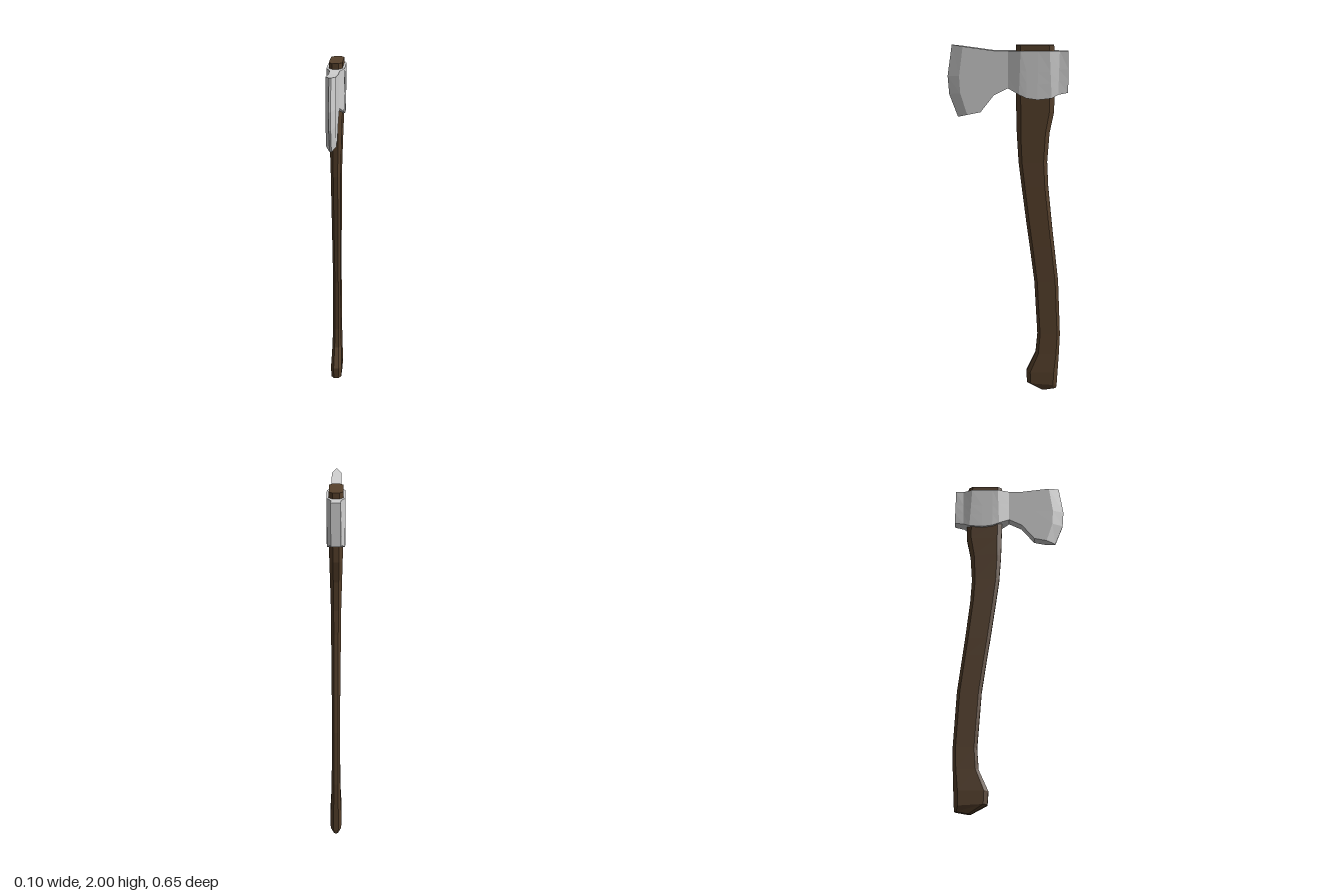
import * as THREE from 'three';

// Skin a list of closed rings, ordered counter-clockwise about the travel direction.
// Each end is capped with a strip between mirrored points.
function loft(rings) {
  const n = rings[0].length;
  const pos = [];
  const quad = (a, b, c, d) => [a, b, c, a, c, d].forEach((p) => pos.push(...p));
  for (let i = 0; i < rings.length - 1; i++) {
    const p = rings[i], q = rings[i + 1];
    for (let j = 0; j < n; j++) {
      const k = (j + 1) % n;
      quad(p[j], p[k], q[k], q[j]);
    }
  }
  const first = rings[0], last = rings[rings.length - 1];
  for (let j = 0; j < n / 2 - 1; j++) {
    quad(last[j], last[j + 1], last[n - 2 - j], last[n - 1 - j]);
    quad(first[n - 1 - j], first[n - 2 - j], first[j + 1], first[j]);
  }
  const geo = new THREE.BufferGeometry();
  geo.setAttribute('position', new THREE.Float32BufferAttribute(pos, 3));
  geo.computeVertexNormals(); // unshared corners give flat facets
  return geo;
}

// Chamfered octagon between a front and a back edge of the handle
function handleRing([frontY, frontZ, backY, backZ, half]) {
  const depth = frontZ - backZ;
  const side = [[0.45, 0], [1, 0.125], [1, 0.875], [0.45, 1]].map(([w, t]) => [
    half * w, frontY + (backY - frontY) * t, frontZ - depth * t,
  ]);
  return [...side, ...side.slice().reverse().map(([x, y, z]) => [-x, y, z])];
}

// Upright section of the head; bulge pushes the middle rows forward
function headRing([topZ, topY, topHalf, lowZ, lowY, lowHalf, bulge = 0]) {
  const side = [0, 0.32, 0.57, 1].map((t, i) => [
    lowHalf + (topHalf - lowHalf) * t,
    lowY + (topY - lowY) * t,
    lowZ + (topZ - lowZ) * t + (i === 1 || i === 2 ? bulge : 0),
  ]);
  return [...side, ...side.slice().reverse().map(([x, y, z]) => [-x, y, z])];
}

export function createModel() {
  const wood = new THREE.MeshStandardMaterial({ color: 0x57412c });
  wood.name = 'brown wood';
  const steel = new THREE.MeshStandardMaterial({ color: 0xd0d0d0 });
  steel.name = 'pale steel';

  // front y, front z, back y, back z, half width; butt to top
  const handle = new THREE.Mesh(loft([
    [0.005, -0.2, 0.02, -0.283, 0.013],
    [0.055, -0.112, 0.045, -0.286, 0.03],
    [0.125, -0.108, 0.125, -0.29, 0.032],
    [0.24, -0.16, 0.24, -0.296, 0.027],
    [0.36, -0.17, 0.36, -0.3, 0.024],
    [0.68, -0.15, 0.68, -0.285, 0.022],
    [0.89, -0.122, 0.89, -0.26, 0.023],
    [1.0, -0.106, 1.0, -0.247, 0.024],
    [1.235, -0.075, 1.235, -0.222, 0.026],
    [1.37, -0.058, 1.37, -0.215, 0.027],
    [1.53, -0.048, 1.53, -0.226, 0.031],
    [1.645, -0.045, 1.645, -0.249, 0.034],
    [1.73, -0.043, 1.73, -0.25, 0.036],
    [2.0, -0.043, 2.0, -0.245, 0.036],
  ].map(handleRing)), wood);
  handle.name = 'handle';

  // top z, top y, top half width, low z, low y, low half width, bulge; poll to edge
  const head = new THREE.Mesh(loft([
    [-0.32, 1.97, 0.025, -0.323, 1.75, 0.025],
    [-0.275, 1.97, 0.025, -0.27, 1.74, 0.031],
    [-0.222, 1.97, 0.048, -0.235, 1.722, 0.045],
    [-0.16, 1.97, 0.048, -0.16, 1.714, 0.048],
    [-0.1, 1.97, 0.048, -0.1, 1.722, 0.048],
    [-0.068, 1.97, 0.048, -0.06, 1.74, 0.045],
    [0, 1.97, 0.026, 0, 1.773, 0.026],
    [0.075, 1.97, 0.026, 0.075, 1.735, 0.026],
    [0.15, 1.98, 0.026, 0.148, 1.643, 0.026],
    [0.24, 1.992, 0.026, 0.22, 1.628, 0.026, 0.03],
    [0.3, 2.0, 0.005, 0.272, 1.615, 0.005, 0.037],
  ].map(headRing)), steel);
  head.name = 'axeHead';

  const axe = new THREE.Group();
  axe.name = 'axe';
  axe.add(handle, head);
  return axe;
}
